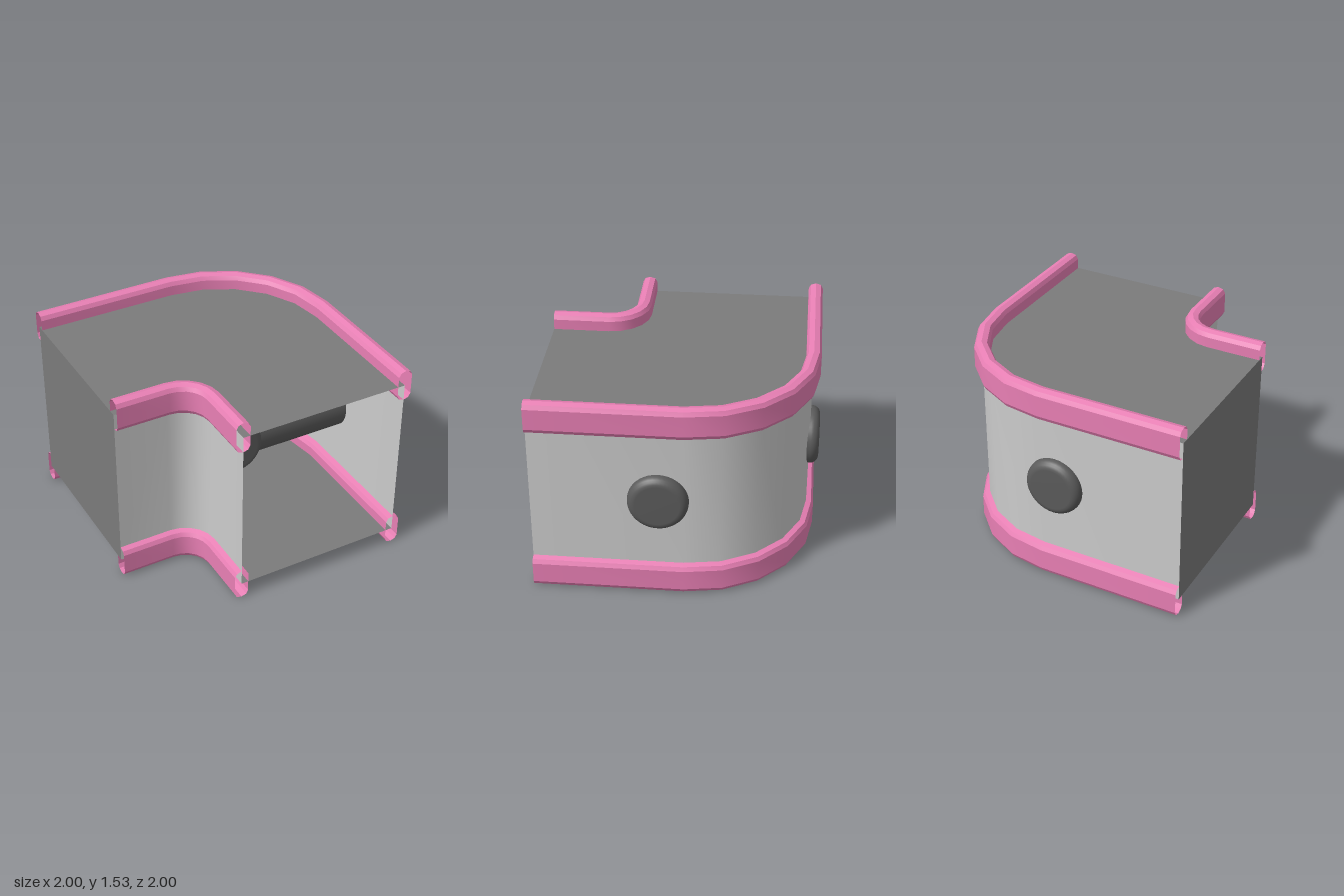
import * as THREE from 'three';
import { toCreasedNormals } from 'three/addons/utils/BufferGeometryUtils.js';

const FLOOR = 0.125, CEILING = 1.41;

const material = (color) => new THREE.MeshStandardMaterial({ color, side: THREE.DoubleSide });

// Plan path (x, z): straight run from the left end, a quarter bend, straight run to the front end
function bendPath(cx, cz, radius, segments) {
  const path = [new THREE.Vector2(-1, cz - radius)];
  for (let i = 0; i <= segments; i++) {
    const a = (i / segments) * Math.PI / 2;
    path.push(new THREE.Vector2(cx + radius * Math.sin(a), cz - radius * Math.cos(a)));
  }
  path.push(new THREE.Vector2(cx + radius, 1));
  return path;
}

// Sweep a section of (outward, up) points along a plan path
function sweep(path, section, y, closed) {
  const pos = [], index = [], n = section.length;
  path.forEach((p, i) => {
    const last = path.length - 1;
    const a = path[Math.max(i - 1, 0)], b = path[Math.min(i + 1, last)];
    const t1 = p.clone().sub(a).normalize(), t2 = b.clone().sub(p).normalize();
    const t = t1.clone().add(t2).normalize();
    const miter = i === 0 || i === last ? 1 : 1 / t.dot(t2);
    for (const [o, u] of section) pos.push(p.x + t.y * o * miter, y + u, p.y - t.x * o * miter);
    if (i === last) return;
    for (let j = 0; j < (closed ? n : n - 1); j++) {
      const k = (j + 1) % n, q = i * n;
      index.push(q + j, q + k, q + n + j, q + k, q + n + k, q + n + j);
    }
  });
  const geometry = new THREE.BufferGeometry();
  geometry.setAttribute('position', new THREE.Float32BufferAttribute(pos, 3));
  geometry.setIndex(index);
  geometry.computeVertexNormals();
  return toCreasedNormals(geometry, 0.4);
}

export function createModel() {
  const group = new THREE.Group();
  const wallMat = material(0xcccccc), plateMat = material(0x7b7b7b);
  const pipeMat = material(0x5b5b5b), railMat = material(0xe87fb4);
  const add = (name, geometry, mat) => {
    const mesh = new THREE.Mesh(geometry, mat);
    mesh.name = name;
    group.add(mesh);
    return mesh;
  };

  const paths = {
    outer: bendPath(0.07, -0.075, 0.855, 5),
    inner: bendPath(-0.6, 0.595, 0.24, 5),
  };

  // Curved walls and the hollow rails along their top and bottom edges
  const railSection = [
    [0, 0.12], [0.038, 0.108], [0.054, 0.078], [0.054, -0.078], [0.038, -0.108],
    [0, -0.12], [-0.038, -0.108], [-0.054, -0.078], [-0.054, 0.078], [-0.038, 0.108],
  ];
  for (const [side, path] of Object.entries(paths)) {
    add(side + 'Wall', sweep(path, [[0, CEILING], [0, FLOOR]], 0, false), wallMat);
    add(side + 'BottomRail', sweep(path, railSection, 0.122, true), railMat);
    add(side + 'TopRail', sweep(path, railSection, CEILING, true), railMat);
  }

  // Floor and ceiling plates filling the space between the walls
  const outline = new THREE.Shape([...paths.outer, ...paths.inner.slice().reverse()]);
  for (const [name, y] of [['floor', FLOOR], ['ceiling', CEILING]]) {
    const plate = new THREE.ShapeGeometry(outline).rotateX(Math.PI / 2);
    add(name, plate, plateMat).position.y = y;
  }

  // Closed end on the -x side; the front end stays open
  const zBack = paths.outer[0].y, zFront = paths.inner[0].y;
  add('endPanel', new THREE.PlaneGeometry(zFront - zBack, CEILING - FLOOR).rotateY(-Math.PI / 2), plateMat)
    .position.set(-1, (FLOOR + CEILING) / 2, (zBack + zFront) / 2);

  // Two crossing pipes with rounded ends that poke through the outer wall
  const radius = 0.215, half = 0.68, round = 0.06;
  const profile = [new THREE.Vector2(0, -half)];
  for (const s of [-1, 1]) {
    for (let i = 0; i <= 5; i++) {
      const a = ((s < 0 ? i : 5 - i) / 5) * Math.PI / 2;
      profile.push(new THREE.Vector2(radius - round + round * Math.sin(a),
        s * (half - round + round * Math.cos(a))));
    }
  }
  profile.push(new THREE.Vector2(0, half));
  const pipe = new THREE.LatheGeometry(profile, 40);
  add('sidePipe', pipe.clone().rotateZ(-Math.PI / 2), pipeMat).position.set(0.315, 0.77, 0.1);
  add('backPipe', pipe.clone().rotateX(Math.PI / 2), pipeMat).position.set(-0.03, 0.77, -0.32);

  return group;
}
